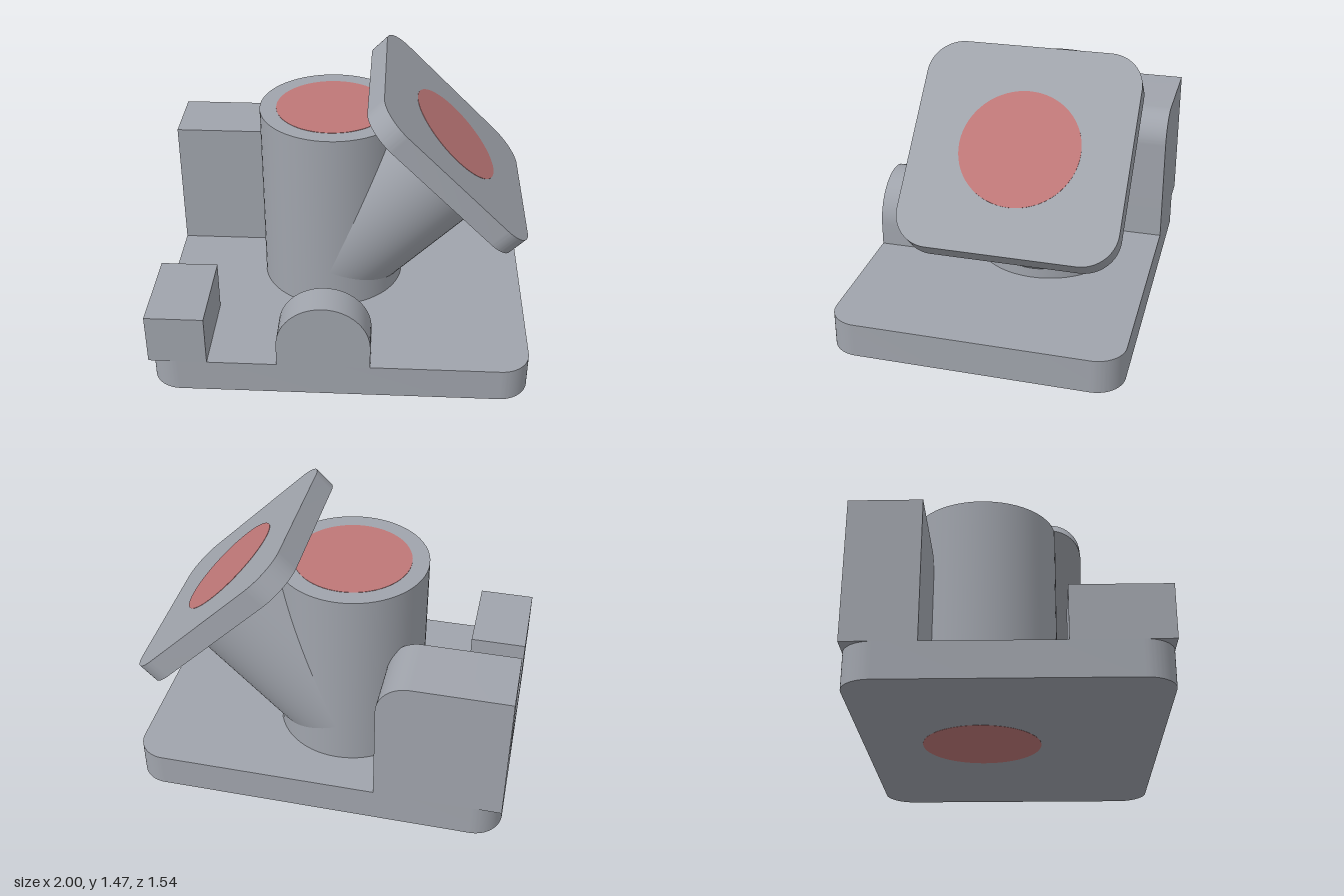
import * as THREE from 'three';
import { toCreasedNormals } from 'three/addons/utils/BufferGeometryUtils.js';

const grey = new THREE.MeshStandardMaterial({ color: 0xa0a4ac });
grey.name = 'grey metal';
const red = new THREE.MeshStandardMaterial({ color: 0xbe7777 });
red.name = 'red bore';

function add(parent, name, geometry, material, x = 0, y = 0, z = 0) {
  const mesh = new THREE.Mesh(geometry, material);
  mesh.name = name;
  mesh.position.set(x, y, z);
  parent.add(mesh);
  return mesh;
}

// Extrude along +z with smooth curved sides and sharp edges
function extrude(shape, depth) {
  const g = new THREE.ExtrudeGeometry(shape, { depth, bevelEnabled: false, curveSegments: 16 });
  return toCreasedNormals(g, 0.5);
}

// Horizontal plate with rounded corners, standing on y = 0
function roundedPlate(w, d, h, r) {
  const s = new THREE.Shape();
  const x = w / 2 - r, y = d / 2 - r;
  s.absarc(x, y, r, 0, Math.PI / 2);
  s.absarc(-x, y, r, Math.PI / 2, Math.PI);
  s.absarc(-x, -y, r, Math.PI, Math.PI * 1.5);
  s.absarc(x, -y, r, Math.PI * 1.5, Math.PI * 2);
  return extrude(s, h).rotateX(-Math.PI / 2);
}

export function createModel() {
  const model = new THREE.Group();
  model.name = 'angledPipeFitting';
  const baseH = 0.185, pipeX = -0.08, pipeZ = -0.155, pipeR = 0.397, boreR = 0.307;

  // Base plate
  add(model, 'base', roundedPlate(2, 1.536, baseH, 0.155), grey);

  // Low corner block
  add(model, 'frontBlock', new THREE.BoxGeometry(0.308, 0.277, 0.49), grey, -0.846, 0.3235, 0.523);

  // Tall block with one rounded top edge
  const tall = new THREE.Shape();
  tall.moveTo(-1, baseH);
  tall.lineTo(-0.325, baseH);
  tall.absarc(-0.495, 0.755, 0.17, 0, Math.PI / 2);
  tall.lineTo(-1, 0.925);
  add(model, 'backBlock', extrude(tall, 0.363), grey, 0, 0, -0.768);

  // Round-topped lug
  const lug = new THREE.Shape();
  lug.moveTo(-0.245, baseH);
  lug.lineTo(0.245, baseH);
  lug.absarc(0, 0.31, 0.245, 0, Math.PI);
  add(model, 'frontLug', extrude(lug, 0.183), grey, pipeX, 0, 0.585);

  // Upright pipe with bore discs at top and bottom
  add(model, 'uprightPipe', new THREE.CylinderGeometry(pipeR, pipeR, 1.05, 64), grey, pipeX, 0.705, pipeZ);
  const disc = new THREE.CylinderGeometry(boreR, boreR, 0.004, 64);
  add(model, 'topBore', disc, red, pipeX, 1.23, pipeZ);
  add(model, 'bottomBore', disc, red, pipeX, 0.001, pipeZ);

  // Branch pipe leaning 45 degrees, with its square flange
  const branch = new THREE.Group();
  branch.name = 'branch';
  branch.position.set(pipeX, 0.405, pipeZ);
  branch.rotation.z = -Math.PI / 4;
  model.add(branch);
  add(branch, 'branchPipe', new THREE.CylinderGeometry(pipeR, pipeR, 0.85, 64), grey, 0, 0.425, 0);
  add(branch, 'flange', roundedPlate(1.105, 1.105, 0.12, 0.18), grey, 0, 0.834, 0);
  add(branch, 'flangeBore', disc, red, 0, 0.954, 0);

  // Sliver of bore wall where the branch rises above the upright pipe
  const sliver = new THREE.CylinderGeometry(pipeR + 0.002, pipeR + 0.002, 0.065, 12, 1, true, Math.PI * 1.5 - 0.28, 0.56);
  add(branch, 'boreSliver', sliver, red, 0, 0.7975, 0);

  return model;
}
